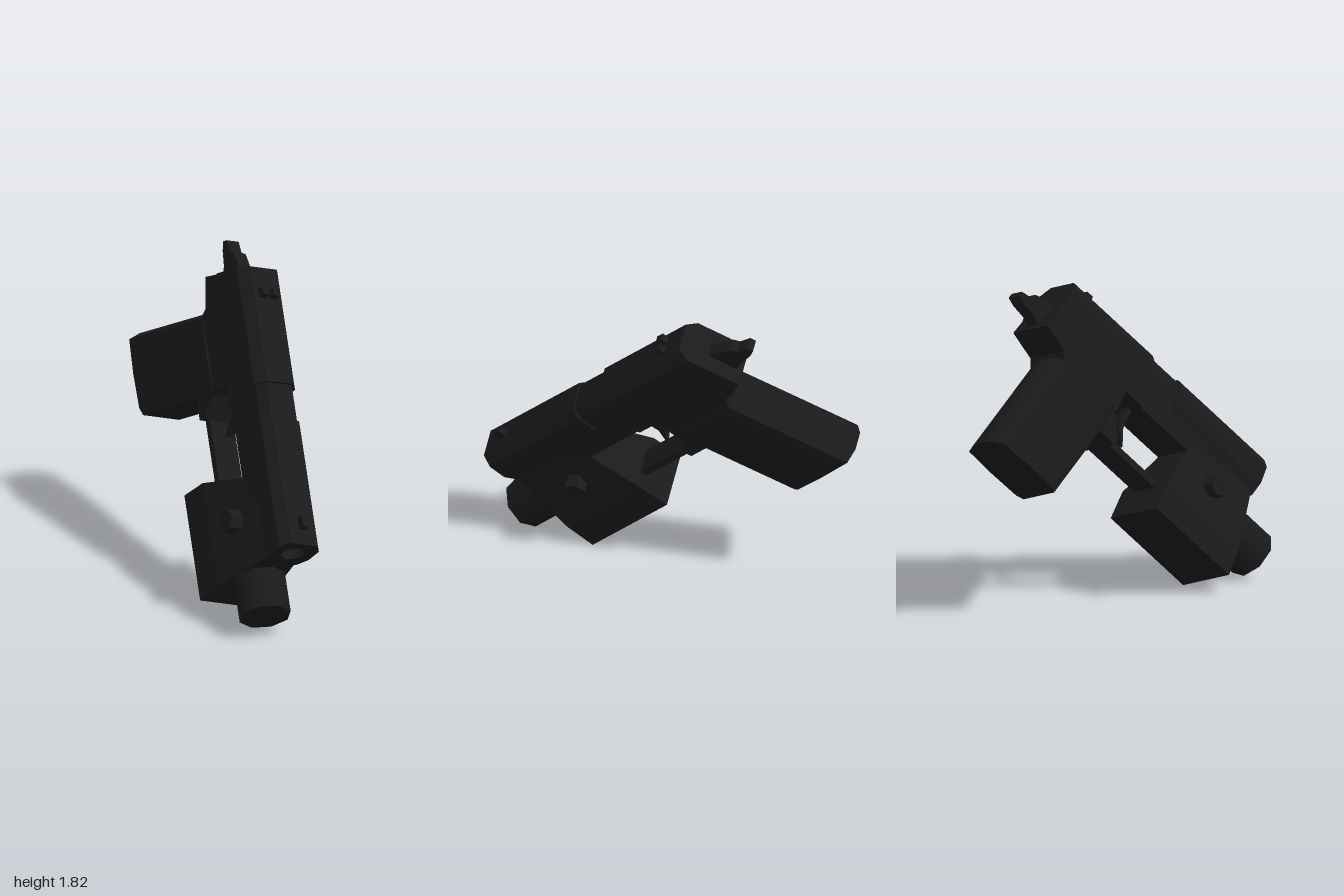
import * as THREE from 'three';
import { toCreasedNormals } from 'three/addons/utils/BufferGeometryUtils.js';

// Local axes: x = towards the muzzle, y = up, z = the right side.
export function createModel() {
  const black = new THREE.MeshStandardMaterial({ color: 0x1a1a1a });
  black.name = 'black';
  const body = new THREE.Group();
  body.name = 'pistol';

  const add = (name, geo) => {
    const mesh = new THREE.Mesh(geo, black);
    mesh.name = name;
    body.add(mesh);
    return mesh;
  };
  const shapeOf = pts => new THREE.Shape(pts.map(p => new THREE.Vector2(p[0], p[1])));
  const extrude = (shape, depth) =>
    new THREE.ExtrudeGeometry(shape, { depth, bevelEnabled: false, curveSegments: 8 });
  // Moves every vertex by a rule
  const warp = (geo, rule) => {
    const p = geo.attributes.position;
    const v = new THREE.Vector3();
    for (let i = 0; i < p.count; i++) {
      v.fromBufferAttribute(p, i);
      rule(v);
      p.setXYZ(i, v.x, v.y, v.z);
    }
    geo.computeVertexNormals();
    return geo;
  };
  // Side outline extruded evenly about the middle plane
  const plate = (pts, half) => extrude(shapeOf(pts), half * 2).translate(0, 0, -half);
  // Half cross-section (z, y) mirrored and run along x
  const mirrored = half => [...half, ...half.map(([r, u]) => [-r, u]).reverse()];
  const run = (half, from, to, hole) => {
    const s = shapeOf(mirrored(half));
    if (hole) {
      const h = new THREE.Path();
      h.absarc(0, 0.378, hole, 0, Math.PI * 2, true);
      s.holes.push(h);
    }
    return extrude(s, to - from).rotateY(Math.PI / 2).translate(from, 0, 0);
  };

  // Slide: slanted rear, lowered ejection port, long front with open muzzle
  const rear = [[0.12, 0.2], [0.137, 0.24], [0.137, 0.44], [0.09, 0.505]];
  const port = [[0.115, 0.2], [0.124, 0.24], [0.124, 0.43], [0.085, 0.488]];
  const front = [[0.095, 0.25], [0.133, 0.33], [0.133, 0.44], [0.09, 0.5]];
  add('slideRear', warp(run(rear, -0.72, 0), v => {
    if (v.x < -0.5) v.x -= (0.505 - v.y) * 0.27;
  }));
  add('ejectionPort', run(port, 0, 0.23));
  add('slideFront', run(front, 0.23, 0.96));
  add('muzzle', run(front, 0.96, 1.02, 0.07));

  // Frame
  add('frameRear', plate([[-0.78, 0.26], [-0.826, 0.12], [-0.646, 0.07], [-0.61, 0],
    [-0.14, 0], [-0.127, 0.155], [0.02, 0.155], [0.02, 0.26]], 0.134));
  add('frameFront', plate([[0, 0.155], [0.6, 0.155], [0.6, 0.3], [0, 0.3]], 0.115));

  // Grip: rounded back, sheared to lean rearwards
  const section = mirrored([[0.12, -0.345], [0.14, -0.385], [0.146, -0.6],
    [0.138, -0.82], [0.06, -0.868]]).map(([r, f]) => [f, r]);
  const grip = warp(extrude(shapeOf(section), 0.745).rotateX(-Math.PI / 2).translate(0, -0.715, 0),
    v => { v.x += (v.y + 0.715) * 0.285; });
  add('grip', toCreasedNormals(grip, 0.75));

  // Trigger and its guard
  add('guardRear', plate([[-0.26, -0.17], [-0.06, -0.17], [-0.045, -0.125], [-0.09, -0.07],
    [-0.154, 0.033], [-0.127, 0.16], [-0.3, 0.16]], 0.12));
  add('guardBar', plate([[-0.15, -0.17], [0.38, -0.17], [0.38, -0.128], [-0.15, -0.128]], 0.08));
  add('trigger', plate([[0.01, 0.17], [-0.008, 0.016], [0.074, -0.075], [0.03, 0.03],
    [0.045, 0.17]], 0.03));

  // Hammer
  add('hammer', plate([[-0.74, 0.34], [-0.78, 0.14], [-0.88, 0.18], [-0.97, 0.19], [-1.02, 0.21],
    [-1.01, 0.245], [-0.935, 0.258], [-0.91, 0.295], [-0.86, 0.31]], 0.04));

  // Sights
  const block = (name, f, r, l, h, w) =>
    add(name, new THREE.BoxGeometry(l, h, w)).position.set(f, 0.49 + h / 2, r);
  block('frontSight', 0.89, 0, 0.07, 0.055, 0.04);
  for (const s of [-1, 1]) block('rearSight', -0.555, s * 0.035, 0.05, 0.06, 0.045);

  // Light module: straight base, upper part narrowing into the slide
  add('moduleBase', plate([[0.34, -0.345], [1, -0.345], [1, -0.15], [0.353, -0.15]], 0.18));
  add('moduleTop', warp(plate([[0.353, -0.15], [1, -0.15], [1, 0.27], [0.495, 0.27]], 0.18),
    v => { if (v.y > 0) v.z *= 0.54; }));

  // Lamp and clamp knobs
  add('lamp', new THREE.CylinderGeometry(0.15, 0.15, 0.29, 8).rotateZ(-Math.PI / 2))
    .position.set(1.1, 0.01, 0);
  for (const s of [-1, 1]) {
    add('clampKnob', toCreasedNormals(
      new THREE.CylinderGeometry(0.068, 0.068, 0.1, 6).rotateX(Math.PI / 2), 0.5))
      .position.set(0.69, 0.06, s * 0.16);
  }

  // Tilt the whole pistol muzzle-down and rest it on the ground
  const fwd = new THREE.Vector3(0.559, -0.676, 0.481).normalize();
  const right = fwd.clone().cross(new THREE.Vector3(0.736, 0.673, 0.091)).normalize();
  const up = right.clone().cross(fwd);
  body.quaternion.setFromRotationMatrix(new THREE.Matrix4().makeBasis(fwd, up, right));
  const model = new THREE.Group();
  model.name = 'tiltedPistol';
  model.add(body);
  model.updateMatrixWorld(true);
  const box = new THREE.Box3().setFromObject(model, true);
  const mid = box.getCenter(new THREE.Vector3());
  body.position.set(-mid.x, -box.min.y, -mid.z);
  return model;
}
